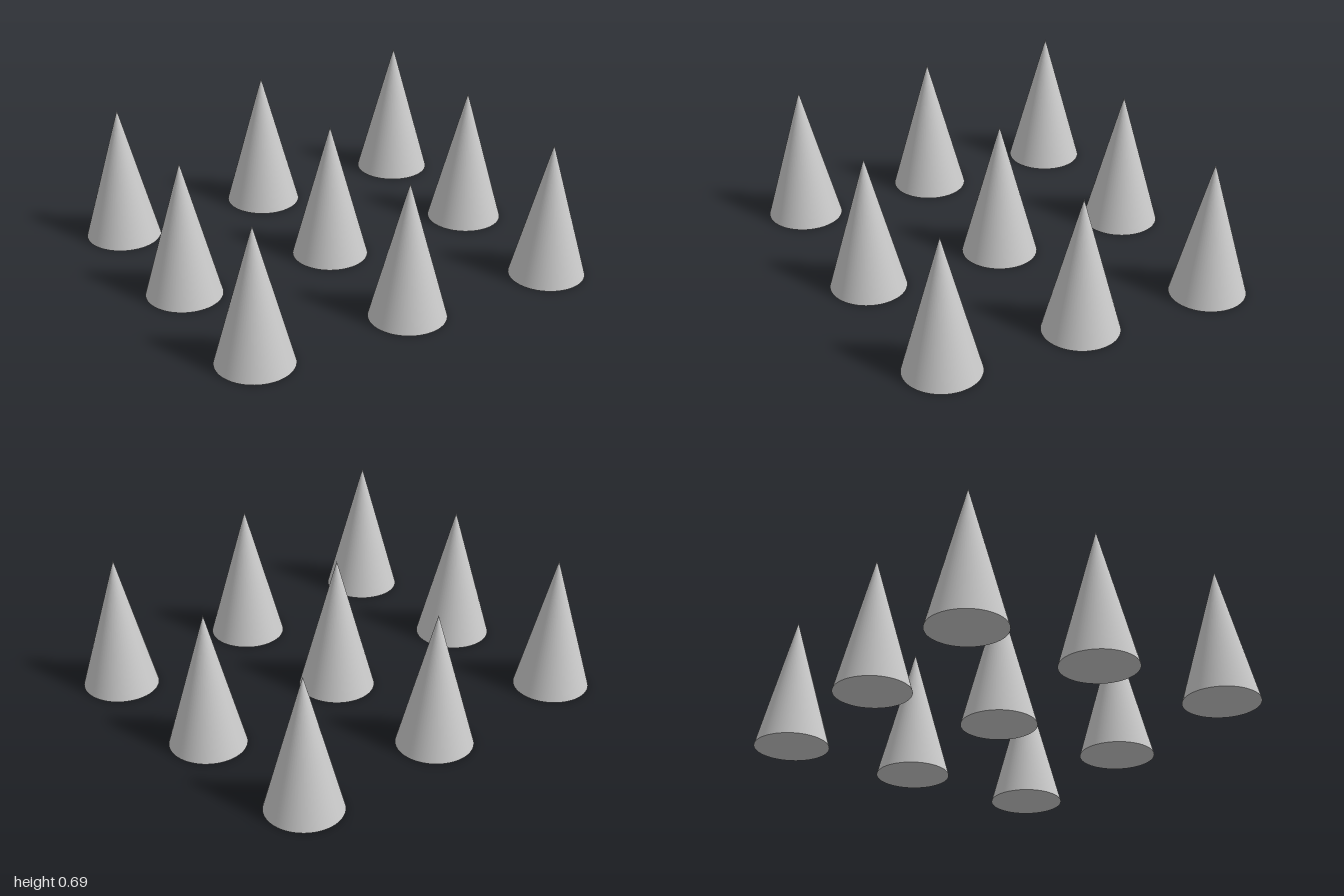
import * as THREE from 'three';

const HEIGHT = 0.692;
const RADIUS = 0.188;
const COLUMNS = [-0.812, 0, 0.812];
const ROWS = [-0.713, -0.006, 0.713];

export function createModel() {
  const model = new THREE.Group();
  model.name = 'coneGrid';

  const material = new THREE.MeshStandardMaterial({ color: 0xcccccc });

  // One closed, smooth cone standing on the ground, shared by all nine
  const geometry = new THREE.ConeGeometry(RADIUS, HEIGHT, 64);
  geometry.translate(0, HEIGHT / 2, 0);

  // Three rows of three cones
  ROWS.forEach((z, row) => {
    COLUMNS.forEach((x, column) => {
      const cone = new THREE.Mesh(geometry, material);
      cone.name = `coneRow${row + 1}Column${column + 1}`;
      cone.position.set(x, 0, z);
      model.add(cone);
    });
  });

  return model;
}
